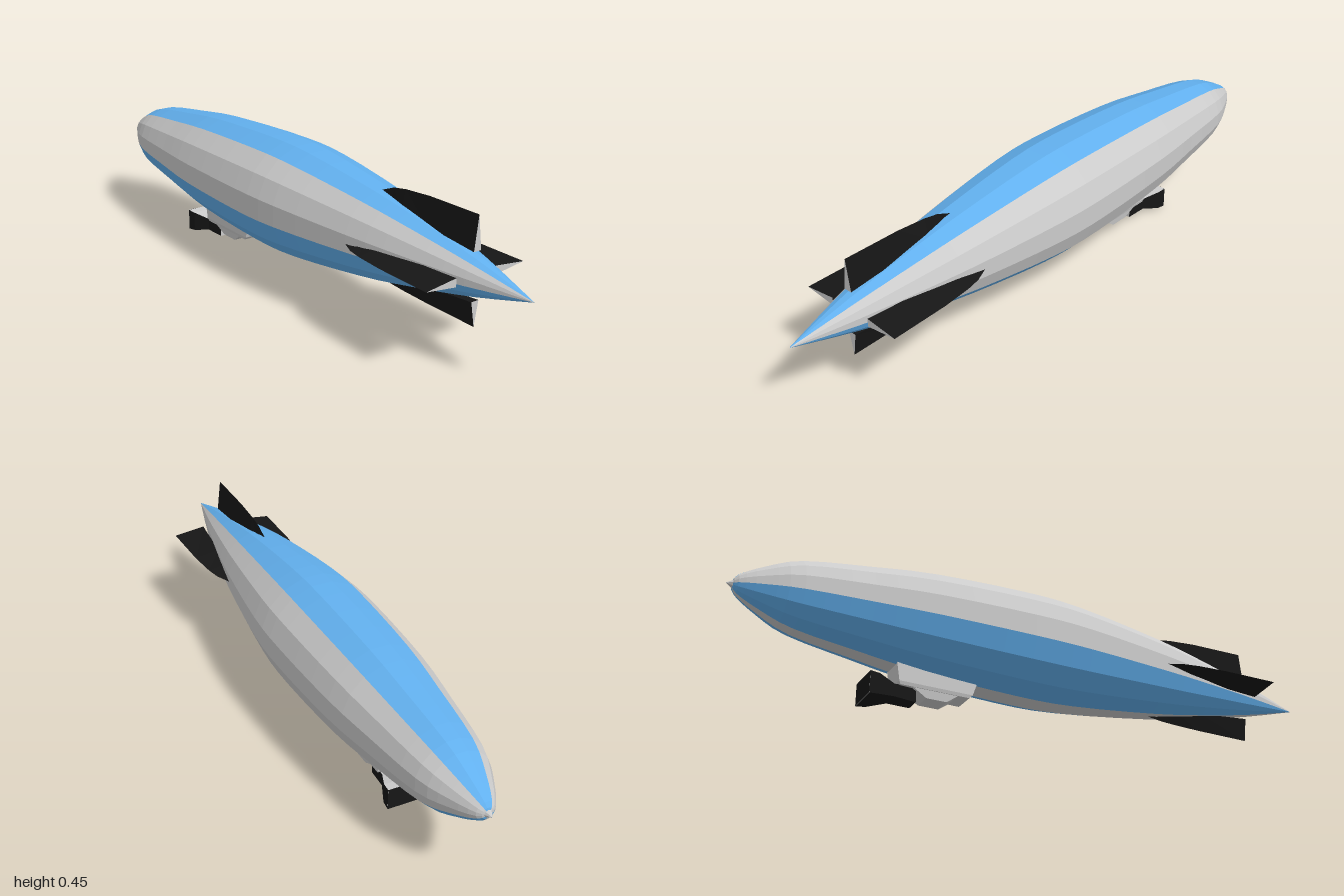
import * as THREE from 'three';

const AXIS_Y = 0.273; // height of the hull's centre line
const mat = (color) => new THREE.MeshStandardMaterial({ color, flatShading: true, side: THREE.DoubleSide });

// Skin between rings of [x, y] points (counter-clockwise seen from +z), with flat end caps.
// Group 0 holds the sides, group 1 the caps and any side listed in altSides.
function loft(sections, altSides = []) {
  const main = [], alt = [];
  const n = sections[0].ring.length;
  const at = (s, i) => [...s.ring[i % n], s.z];
  for (let k = 0; k < sections.length - 1; k++) {
    const s = sections[k], t = sections[k + 1];
    for (let i = 0; i < n; i++) {
      const a = at(s, i), b = at(s, i + 1), c = at(t, i + 1), d = at(t, i);
      (altSides.includes(i) ? alt : main).push(...a, ...b, ...c, ...a, ...c, ...d);
    }
  }
  const first = sections[0], last = sections[sections.length - 1];
  for (let i = 1; i < n - 1; i++) {
    alt.push(...at(last, 0), ...at(last, i), ...at(last, i + 1));
    alt.push(...at(first, 0), ...at(first, i + 1), ...at(first, i));
  }
  const geo = new THREE.BufferGeometry();
  geo.setAttribute('position', new THREE.Float32BufferAttribute([...main, ...alt], 3));
  geo.addGroup(0, main.length / 3, 0);
  geo.addGroup(main.length / 3, alt.length / 3, 1);
  geo.computeVertexNormals();
  return geo;
}

const rect = (w, y0, y1) => [[w, y0], [w, y1], [-w, y1], [-w, y0]];

export function createModel() {
  const model = new THREE.Group();
  model.name = 'airship';
  const grey = mat(0xcccccc), blue = mat(0x62b0ee), black = mat(0x161616);

  const add = (name, geo, material, parent = model) => {
    const mesh = new THREE.Mesh(geo, material);
    mesh.name = name;
    parent.add(mesh);
    return mesh;
  };

  // Hull: sixteen-sided body of revolution, split into striped panels
  const curve = new THREE.SplineCurve([
    [0, -0.985], [0.03, -0.97], [0.071, -0.9], [0.111, -0.8], [0.142, -0.6], [0.167, -0.4],
    [0.181, -0.1], [0.175, 0.1], [0.137, 0.4], [0.1, 0.6], [0.055, 0.8], [0, 1],
  ].map(([r, z]) => new THREE.Vector2(r, z)));
  const profile = curve.getPoints(33).map((p) => new THREE.Vector2(Math.max(p.x, 0), p.y));
  profile[profile.length - 1].x = 0;
  const hull = new THREE.Group();
  hull.name = 'hull';
  hull.position.y = AXIS_Y;
  model.add(hull);
  const step = Math.PI / 8;
  // Sides are counted from the bottom towards +x
  const panel = (name, firstSide, count, material, points = profile) => {
    const geo = new THREE.LatheGeometry(points, count, (firstSide - 0.5) * step, count * step);
    add(name, geo.rotateX(Math.PI / 2), material, hull);
  };
  panel('keelStripe', 0, 1, grey);
  panel('lowerLeftStripe', 1, 2, blue);
  const split = profile.findIndex((p) => p.y > 0.73);
  panel('leftEdgeStripe', 3, 1, grey, profile.slice(0, split + 1));
  panel('leftEdgeStripeTail', 3, 1, blue, profile.slice(split));
  panel('leftStripe', 4, 3, grey);
  panel('topStripe', 7, 3, blue);
  panel('rightStripe', 10, 3, grey);
  panel('lowerRightStripe', 13, 3, blue);

  // Nose cone
  const nose = add('noseCone', new THREE.ConeGeometry(0.02, 0.03, 8), grey, hull);
  nose.rotation.x = -Math.PI / 2;
  nose.position.z = -0.985;

  // Tail fins: triangular section tapering outwards, with a blunt grey rear face
  const fin = (name, angle, tip) => {
    const sections = [
      [0.4, 0.1, 0.134, 0.001],
      [0.45, 0.105, 0.134 + (tip - 0.134) * 0.5, 0.008],
      [0.5, 0.1, 0.134 + (tip - 0.134) * 0.72, 0.013],
      [0.6, 0.09, 0.134 + (tip - 0.134) * 0.92, 0.013],
      [0.79, 0.072, tip, 0.013],
    ].map(([z, base, top, w]) => ({ z, ring: [[w, base], [0, top], [-w, base]] }));
    const mesh = add(name, loft(sections), [black, grey]);
    mesh.position.y = AXIS_Y;
    mesh.rotation.z = angle;
  };
  fin('topFin', 0, 0.175);
  fin('rightFin', Math.PI / 2, 0.178);
  fin('bottomFin', Math.PI, 0.148);
  fin('leftFin', -Math.PI / 2, 0.178);

  // Gondola: cabin and lower hold, lofted upwards
  const upright = (rows) => loft(rows.map(([y, w, z0, z1]) => ({ z: y, ring: rect(w, z0, z1) })))
    .rotateX(-Math.PI / 2);
  add('cabin', upright([
    [0.055, 0.037, 0.255, 0.475], [0.065, 0.04, 0.245, 0.48], [0.125, 0.04, 0.225, 0.49],
  ]), grey);
  add('lowerHold', upright([
    [0.03, 0.031, 0.325, 0.39], [0.056, 0.035, 0.29, 0.435],
  ]), grey);

  // Flared scoop at the gondola's nose end
  add('scoop', loft([
    { z: -0.575, ring: rect(0.057, 0, 0.07) },
    { z: -0.545, ring: rect(0.054, 0.003, 0.068) },
    { z: -0.49, ring: rect(0.03, 0.016, 0.056) },
    { z: -0.42, ring: rect(0.025, 0.013, 0.06) },
  ], [1]), [black, grey]);
  // Dark front of the scoop
  const front = add('scoopFront', new THREE.PlaneGeometry(0.114, 0.07), black);
  front.rotation.y = Math.PI;
  front.position.set(0, 0.035, -0.5755);

  return model;
}
